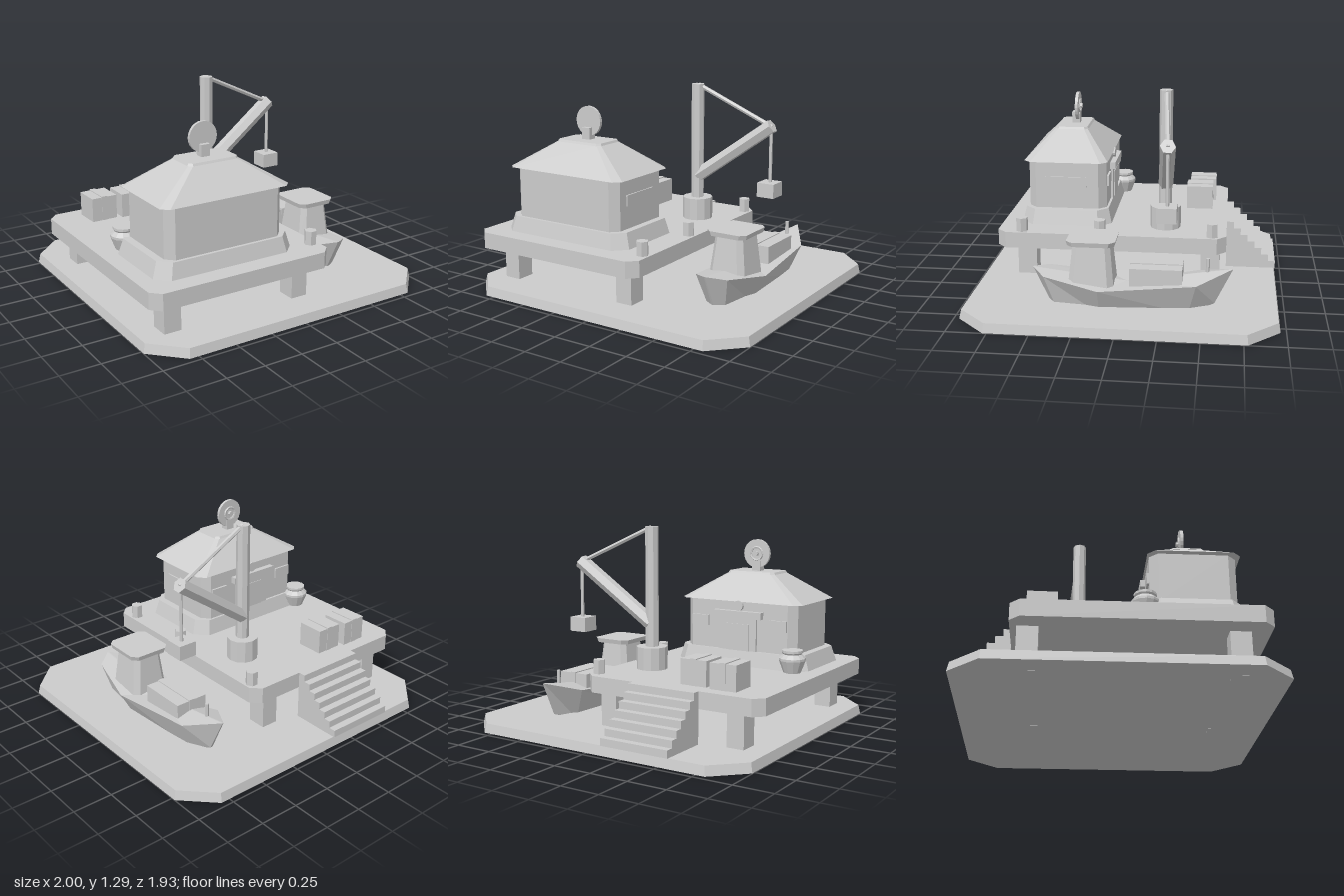
import * as THREE from 'three';

export function createModel() {
  const model = new THREE.Group();
  model.name = 'harborDock';
  const stone = new THREE.MeshStandardMaterial({ color: 0xcccccc, flatShading: true });
  stone.name = 'plainGrey';

  const add = (name, geo, x = 0, y = 0, z = 0, parent = model) => {
    const m = new THREE.Mesh(geo, stone);
    m.name = name;
    m.position.set(x, y, z);
    parent.add(m);
    return m;
  };
  const group = (name) => {
    const g = new THREE.Group();
    g.name = name;
    model.add(g);
    return g;
  };
  // box given by its limits
  const box = (name, x0, x1, y0, y1, z0, z1, parent) =>
    add(name, new THREE.BoxGeometry(x1 - x0, y1 - y0, z1 - z0),
      (x0 + x1) / 2, (y0 + y1) / 2, (z0 + z1) / 2, parent);
  const cyl = (name, x, z, r, y0, y1, n, parent) =>
    add(name, new THREE.CylinderGeometry(r, r, y1 - y0, n), x, (y0 + y1) / 2, z, parent);
  // rod between two points
  const rod = (name, a, b, r, n, parent) => {
    const p = new THREE.Vector3(...a), q = new THREE.Vector3(...b);
    const m = add(name, new THREE.CylinderGeometry(r, r, p.distanceTo(q), n), 0, 0, 0, parent);
    m.position.copy(p).add(q).multiplyScalar(0.5);
    m.quaternion.setFromUnitVectors(new THREE.Vector3(0, 1, 0), q.sub(p).normalize());
    return m;
  };
  const toGeometry = (points) => {
    const g = new THREE.BufferGeometry();
    g.setAttribute('position', new THREE.Float32BufferAttribute(points.flat(), 3));
    g.computeVertexNormals();
    return g;
  };
  // skin with end caps over rings with the same number of corners; one strip can be left open
  const loft = (rings, openStrip = -1) => {
    const v = [];
    const n = rings[0].length, last = rings[rings.length - 1];
    for (let k = 0; k < rings.length - 1; k++) {
      const a = rings[k], b = rings[k + 1];
      for (let i = 0; i < n; i++) {
        if (i === openStrip) continue;
        const j = (i + 1) % n;
        v.push(a[i], a[j], b[j], a[i], b[j], b[i]);
      }
    }
    for (let i = 1; i < n - 1; i++)
      v.push(rings[0][0], rings[0][i + 1], rings[0][i], last[0], last[i], last[i + 1]);
    return toGeometry(v);
  };
  // triangles from a closed outline to one middle point
  const fan = (outline, middle) =>
    toGeometry(outline.flatMap((p, i) => [p, outline[(i + 1) % outline.length], middle]));
  // rectangle with cut corners at height y
  const oct = (x0, x1, z0, z1, c, y) => [
    [x0 + c, y, z1], [x1 - c, y, z1], [x1, y, z1 - c], [x1, y, z0 + c],
    [x1 - c, y, z0], [x0 + c, y, z0], [x0, y, z0 + c], [x0, y, z1 - c]];

  // ground slab and raised deck
  add('groundSlab', loft([oct(-1, 1, -0.965, 0.965, 0.19, 0.001), oct(-0.988, 0.988, -0.953, 0.953, 0.185, 0.06)]));
  add('deck', loft([oct(-0.972, 0.268, -0.632, 0.855, 0.06, 0.272), oct(-0.972, 0.268, -0.632, 0.855, 0.06, 0.377)]));
  for (const x of [-0.789, 0.109]) for (const z of [-0.53, 0.675])
    box('deckLeg', x - 0.056, x + 0.056, 0, 0.273, z - 0.062, z + 0.062);

  // stairs up the back
  const stairs = group('stairs');
  for (let i = 0; i < 7; i++) {
    const z = -0.632 - i * 0.047;
    box('step', -0.566, -0.1, 0.06, 0.377 - i * 0.045, z - 0.047, z, stairs);
  }

  // mooring posts
  for (const z of [-0.54, 0.184, 0.694])
    cyl('mooringPost', 0.219, z, 0.039, 0.375, 0.466, 6).rotation.y = Math.PI / 6;

  // house: plinth, walls and hipped roof
  const house = group('house');
  add('plinth', loft([oct(-0.867, 0.093, 0.132, 0.732, 0.08, 0.375), oct(-0.835, 0.064, 0.155, 0.708, 0.07, 0.476)]), 0, 0, 0, house);
  add('walls', loft([oct(-0.785, 0.018, 0.17, 0.688, 0.05, 0.475), oct(-0.785, 0.018, 0.17, 0.688, 0.05, 0.797)]), 0, 0, 0, house);
  add('roof', loft([oct(-0.823, 0.059, 0.157, 0.712, 0.045, 0.795), oct(-0.547, -0.213, 0.327, 0.54, 0.02, 0.965)]), 0, 0, 0, house);
  add('roofCap', loft([oct(-0.555, -0.208, 0.318, 0.545, 0.025, 0.962), oct(-0.547, -0.215, 0.327, 0.537, 0.02, 0.976)]), 0, 0, 0, house);

  // door, canopy, lamp and windows
  box('door', -0.518, -0.25, 0.475, 0.705, 0.155, 0.172, house);
  box('doorPanel', -0.468, -0.3, 0.475, 0.65, 0.15, 0.156, house);
  box('canopy', -0.562, -0.213, 0.69, 0.735, 0.133, 0.172, house);
  add('lamp', new THREE.CylinderGeometry(0.034, 0.034, 0.02, 12).rotateX(Math.PI / 2), -0.386, 0.768, 0.163, house);
  for (const x of [-0.67, -0.1]) box('backWindow', x - 0.062, x + 0.062, 0.62, 0.69, 0.156, 0.172, house);
  box('sideWindow', 0.015, 0.027, 0.62, 0.69, 0.3, 0.575, house);

  // round roof sign with a hub and ring on its back
  const sign = group('roofSign');
  box('signPost', -0.417, -0.357, 0.97, 1.05, 0.395, 0.45, sign);
  add('signDisc', new THREE.CylinderGeometry(0.095, 0.095, 0.02, 24).rotateX(Math.PI / 2), -0.387, 1.09, 0.411, sign);
  add('signRing', new THREE.TorusGeometry(0.042, 0.008, 5, 16), -0.387, 1.09, 0.4, sign);
  add('signHub', new THREE.CylinderGeometry(0.016, 0.016, 0.02, 8).rotateX(Math.PI / 2), -0.387, 1.09, 0.392, sign);

  // closed pot beside the house
  const potProfile = [[0, 0.375], [0.055, 0.375], [0.085, 0.455], [0.085, 0.47], [0.06, 0.495],
    [0.067, 0.505], [0.067, 0.52], [0, 0.52]];
  add('pot', new THREE.LatheGeometry(potProfile.map((p) => new THREE.Vector2(...p)), 12), -0.788, 0, 0.14);

  // strapped crates
  const crate = (name, x, y, z, w, h, d, turn) => {
    const g = group(name);
    g.position.set(x, y, z);
    g.rotation.y = turn;
    box('crateBody', -w / 2, w / 2, 0, h, -d / 2, d / 2, g);
    box('crateStrap', -0.02, 0.02, 0, h + 0.006, -d / 2 - 0.003, d / 2 + 0.003, g);
  };
  crate('deckCrateA', -0.675, 0.375, -0.456, 0.175, 0.16, 0.178, 0.02);
  crate('deckCrateB', -0.466, 0.375, -0.438, 0.178, 0.16, 0.178, 0);

  // crane
  const crane = group('crane');
  cyl('craneBase', 0.029, -0.229, 0.1, 0.375, 0.522, 12, crane);
  cyl('mast', 0.029, -0.227, 0.043, 0.52, 1.288, 8, crane);
  rod('boom', [0.035, 0.67, -0.229], [0.56, 1.047, -0.275], 0.048, 6, crane);
  rod('stay', [0.035, 1.282, -0.229], [0.56, 1.04, -0.275], 0.015, 6, crane);
  rod('cable', [0.555, 1.04, -0.275], [0.555, 0.67, -0.275], 0.011, 6, crane);
  box('hangingLoad', 0.492, 0.612, 0.583, 0.677, -0.334, -0.212, crane);

  // boat hull from bow to stern: rail z, half width, height, then the same for the bottom
  const hull = [
    [-0.68, 0.004, 0.295, -0.57, 0.008, 0.07],
    [-0.46, 0.14, 0.225, -0.41, 0.055, 0.01],
    [0.13, 0.185, 0.185, 0.13, 0.085, 0],
    [0.47, 0.11, 0.24, 0.4, 0.055, 0.01],
    [0.552, 0.004, 0.264, 0.45, 0.008, 0.05],
  ].map(([z, w, y, bz, bw, by]) => [[w, y, z], [-w, y, z], [-bw, by, bz], [bw, by, bz]]);
  const boat = group('boat');
  add('hull', loft(hull, 0), 0.564, 0, 0, boat);
  // boat deck: a shallow dish from the rails to one low middle point
  const rail = [...hull.map((s) => s[0]).reverse(), ...hull.map((s) => s[1])];
  add('boatDeck', fan(rail, [0, 0.193, -0.03]), 0.564, 0, 0, boat);
  add('cabin', loft([oct(0.436, 0.692, 0.04, 0.322, 0.035, 0.17), oct(0.469, 0.659, 0.065, 0.292, 0.03, 0.45)]), 0, 0, 0, boat);
  add('cabinRoof', loft([oct(0.434, 0.694, 0.035, 0.322, 0.035, 0.445), oct(0.427, 0.701, 0.028, 0.328, 0.035, 0.475)]), 0, 0, 0, boat);
  cyl('bowPost', 0.562, -0.525, 0.012, 0.2, 0.355, 6, boat);
  crate('boatCrate', 0.562, 0.19, -0.215, 0.215, 0.12, 0.32, 0);

  return model;
}
